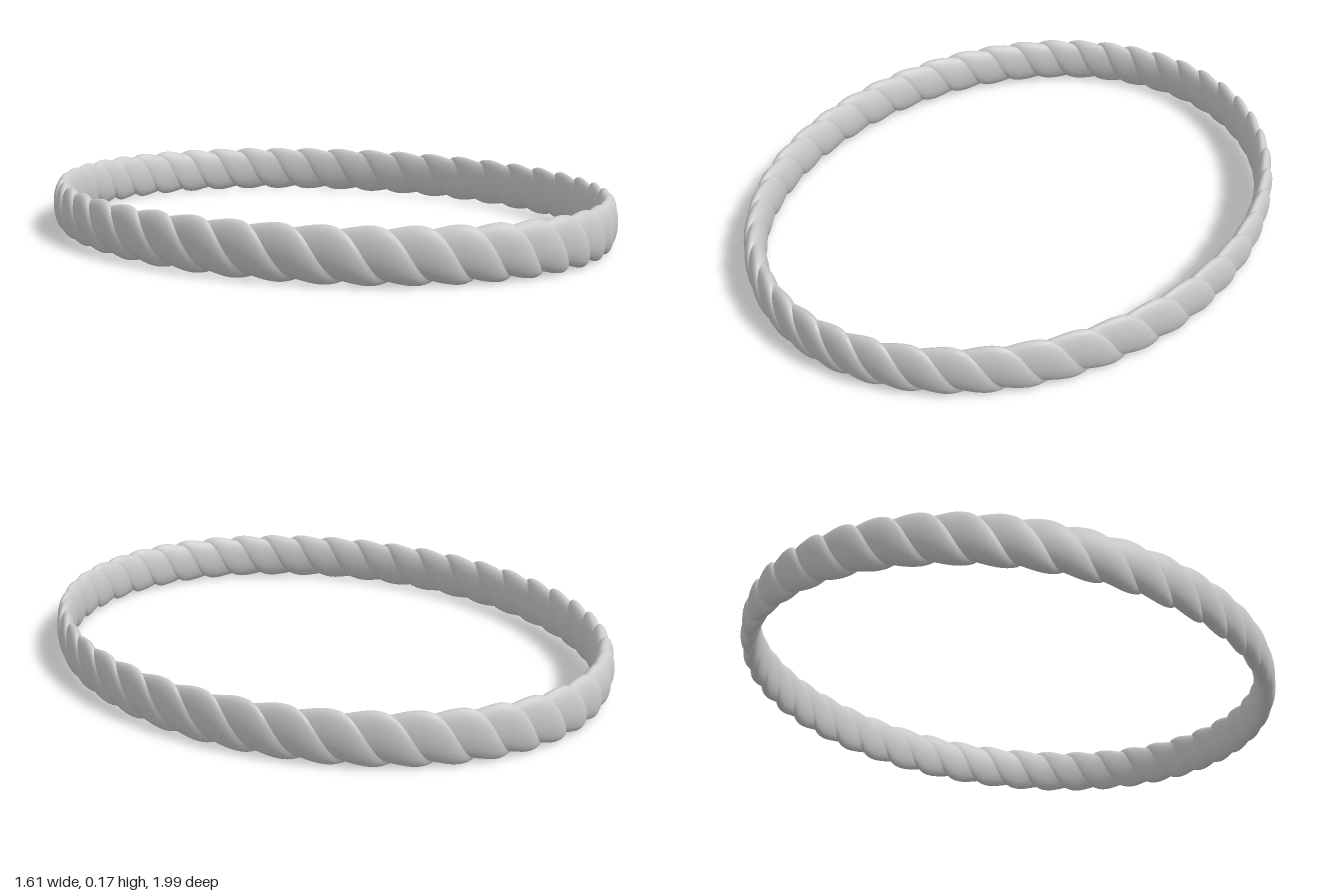
import * as THREE from 'three';

const LOOPS = 2, TURNS_PER_LOOP = 22.5; // the half turn swaps the two cords, so they join into one
const STEPS = 1080, SPAN = 14;
const RX = 0.771, RZ = 0.964;   // oval centre line
const HALF_HEIGHT = 0.083;      // tall, flattened rope

// A cord that runs twice round the oval, covering half of the rope's girth.
// Its surface bulges off-centre, so a sharp groove follows each edge.
function ropeGeometry() {
  const pos = [], index = [];
  for (let i = 0; i < STEPS; i++) {
    const t = (i / STEPS) * Math.PI * 2 * LOOPS;
    const cx = 0.004 + RX * Math.sin(t), cz = RZ * Math.cos(t);
    const out = new THREE.Vector2(RZ * Math.sin(t), RX * Math.cos(t)).normalize();
    const halfWidth = 0.033 - 0.004 * Math.sin(t); // thinner towards +x
    for (let j = 0; j <= SPAN; j++) {
      const u = j / SPAN;
      const a = Math.PI * u + TURNS_PER_LOOP * t;
      const depth = 0.17 + 0.05 * Math.sin(a);     // grooves are deeper outside
      const r = 1 - depth * (1 - Math.sin(Math.PI * u ** 0.65));
      const w = halfWidth * r * Math.sin(a), h = HALF_HEIGHT * r * Math.cos(a);
      pos.push(cx + out.x * w, 0.087 + h, cz + out.y * w);
      if (j === SPAN) continue;
      const p = i * (SPAN + 1) + j, q = ((i + 1) % STEPS) * (SPAN + 1) + j;
      index.push(p, p + 1, q, p + 1, q + 1, q);
    }
  }
  const g = new THREE.BufferGeometry();
  g.setAttribute('position', new THREE.Float32BufferAttribute(pos, 3));
  g.setIndex(index);
  g.computeVertexNormals();
  return g;
}

export function createModel() {
  const group = new THREE.Group();
  group.name = 'twistedRing';
  const material = new THREE.MeshStandardMaterial({ color: 0xcccccc });
  const rope = new THREE.Mesh(ropeGeometry(), material);
  rope.name = 'twistedRope';
  group.add(rope);
  return group;
}
